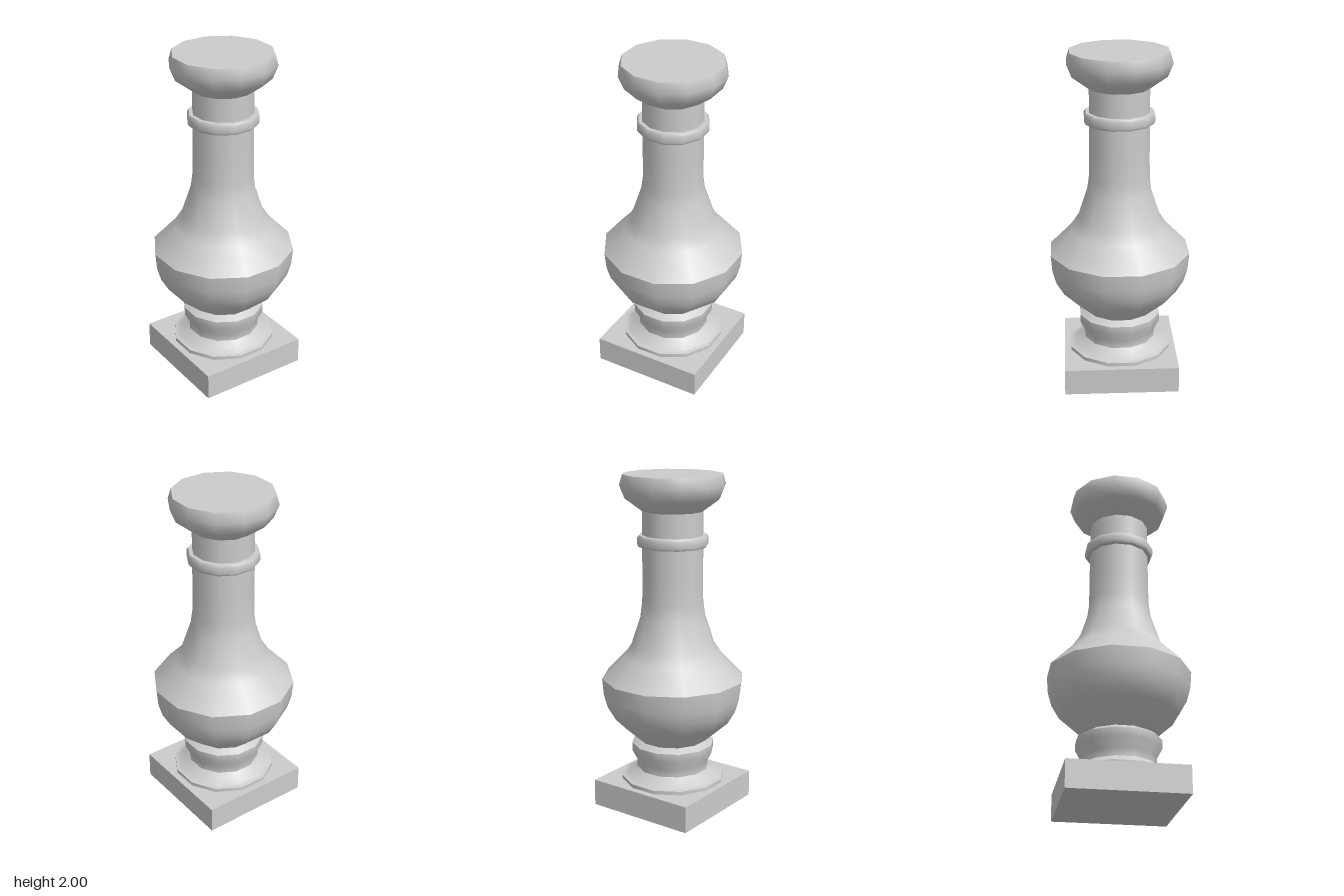
import * as THREE from 'three';

const SIDES = 12;
const HALF = Math.PI / SIDES;

export function createModel() {
  const group = new THREE.Group();
  const stone = new THREE.MeshStandardMaterial({ color: 0xcccccc });
  stone.name = 'stone';

  function add(name, geometry, y = 0) {
    const mesh = new THREE.Mesh(geometry, stone);
    mesh.name = name;
    mesh.position.y = y;
    group.add(mesh);
    return mesh;
  }

  // Twelve-sided turned section; profile pairs are [distance to flat side, height].
  // Separate sections keep a sharp edge where they meet.
  function turned(name, profile) {
    const points = profile.map(([r, y]) => new THREE.Vector2(r / Math.cos(HALF), y));
    add(name, new THREE.LatheGeometry(points, SIDES, HALF));
  }

  // Square plinth
  add('plinth', new THREE.BoxGeometry(0.68, 0.16, 0.68), 0.08);

  // Foot
  turned('footRim', [[0.3, 0.16], [0.3, 0.182]]);
  turned('footLedge', [[0.3, 0.182], [0.28, 0.187]]);
  turned('footSlope', [[0.28, 0.187], [0.245, 0.205], [0.21, 0.235]]);
  turned('footCollar', [[0.21, 0.235], [0.21, 0.28], [0.24, 0.34], [0.24, 0.39]]);
  turned('footCollarTop', [[0.24, 0.39], [0.2, 0.415]]);

  // Belly and shaft
  turned('bellyBowl', [[0.2, 0.415], [0.335, 0.54], [0.38, 0.62], [0.402, 0.7], [0.41, 0.8]]);
  turned('bellyShoulder', [[0.41, 0.8], [0.285, 0.935], [0.24, 1.005], [0.187, 1.17],
    [0.175, 1.26], [0.173, 1.4], [0.173, 1.585]]);

  // Neck with its raised ring
  turned('ringUnderside', [[0.173, 1.585], [0.193, 1.585]]);
  turned('ring', [[0.193, 1.585], [0.202, 1.6], [0.202, 1.637], [0.193, 1.652]]);
  turned('ringTop', [[0.193, 1.652], [0.172, 1.652]]);
  turned('neck', [[0.172, 1.652], [0.172, 1.79]]);

  // Cap with a flat top
  turned('cap', [[0.172, 1.79], [0.268, 1.863], [0.298, 1.94], [0.281, 2]]);
  const top = add('capTop', new THREE.CircleGeometry(0.281 / Math.cos(HALF), SIDES, HALF), 2);
  top.rotation.x = -Math.PI / 2;

  return group;
}
